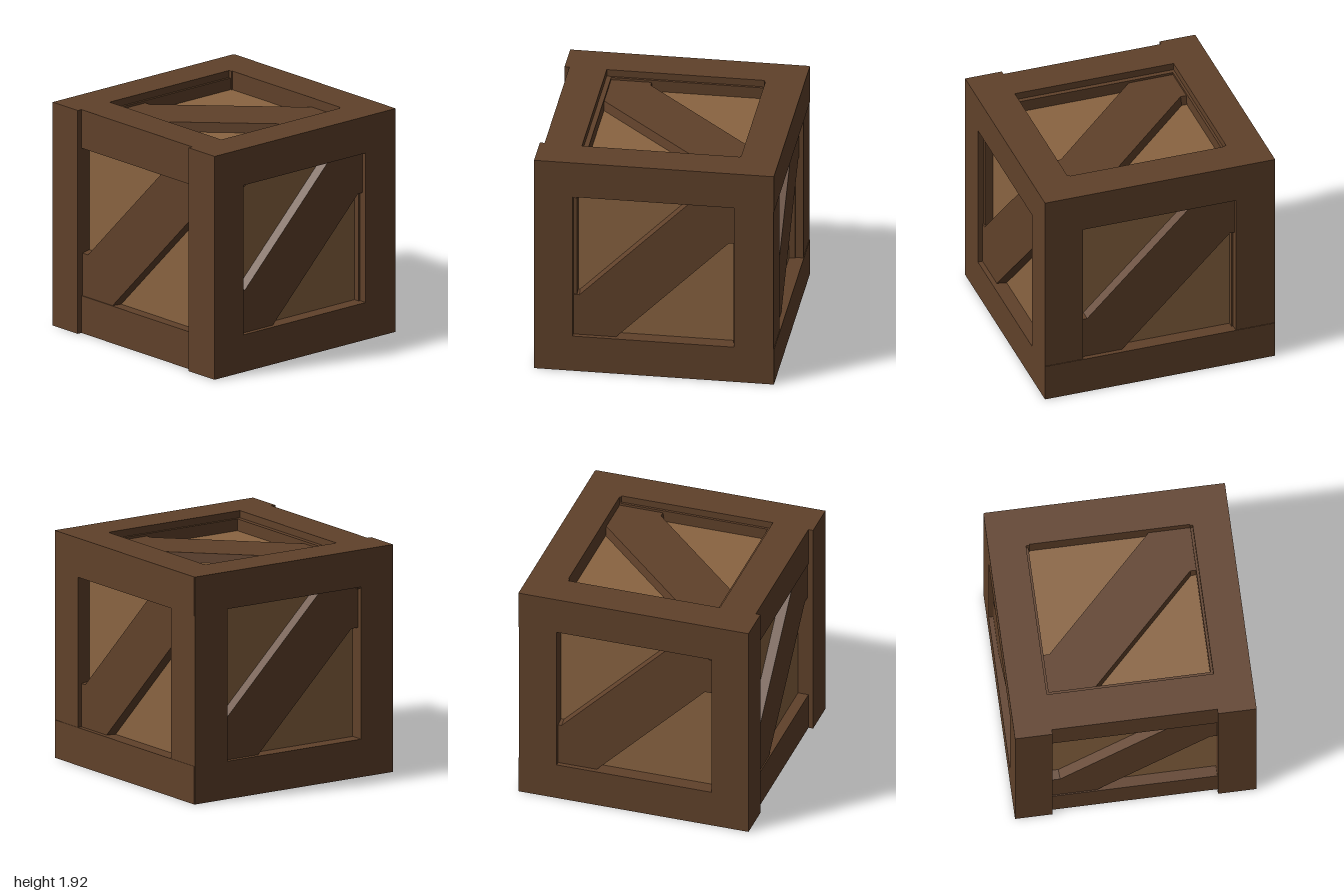
import * as THREE from 'three';

const darkWood = new THREE.MeshStandardMaterial({ name: 'darkWood', color: 0x60412a });
const lightWood = new THREE.MeshStandardMaterial({ name: 'lightWood', color: 0x8a6441 });

// Box given by its minimum and maximum corners
function block(name, [x0, y0, z0], [x1, y1, z1], material = darkWood) {
  const mesh = new THREE.Mesh(new THREE.BoxGeometry(x1 - x0, y1 - y0, z1 - z0), material);
  mesh.position.set((x0 + x1) / 2, (y0 + y1) / 2, (z0 + z1) / 2);
  mesh.name = name;
  return mesh;
}

// Diagonal plank with slightly sloped edges; its base lies at z = 0 and its face at z = 0.08
function braceGeometry() {
  const a = 0.7, c = 0.352, tip = a - 0.075;
  const half = [[-a, -a], [c - a, -a], [tip, tip - c], [a, tip - c]];
  const outline = [...half, ...half.map(([x, y]) => [-x, -y])];
  const shape = new THREE.Shape(outline.map(([x, y]) => new THREE.Vector2(x, y)));
  const geometry = new THREE.ExtrudeGeometry(shape, {
    depth: 0.04, bevelEnabled: true, bevelThickness: 0.08, bevelSize: 0.012, bevelOffset: -0.012, bevelSegments: 1,
  });
  return geometry.translate(0, 0, -0.04);
}

export function createModel() {
  const crate = new THREE.Group();
  crate.name = 'crate';
  const H = 1.92;

  // Recessed panels on all six sides
  crate.add(block('panels', [-0.87, 0.16, -0.88], [0.87, 1.76, 0.88], lightWood));

  // Corner posts
  for (const [z0, z1] of [[0.68, 1], [-1, -0.69]]) {
    crate.add(block('leftPost', [-1, 0, z0], [-0.68, H, z1]));
  }
  for (const [z0, z1] of [[0.67, 1], [-1, -0.66]]) {
    crate.add(block('rightPost', [0.66, 0, z0], [0.985, H, z1]));
  }

  // Rails along the top and bottom edges
  for (const top of [false, true]) {
    const [y0, y1] = top ? [1.605, H] : [0, 0.32];
    crate.add(block('frontRail', [-0.99, y0, 0.69], [0.985, y1, 1]));
    crate.add(block('backRail', [-0.99, y0, -1], [0.985, y1, -0.69]));
    const s0 = top ? 1.59 : 0;
    crate.add(block('leftRail', [-0.96, s0, -0.99], [-0.65, y1, 0.99]));
    crate.add(block('rightRail', [0.67, s0, -0.995], [0.99, y1, 0.995]));
  }

  // Narrow ledges inside the front, right and top openings
  crate.add(block('frontLedge', [-0.7, 0.3, 0.8], [-0.65, 1.62, 0.95]));
  crate.add(block('frontLedge', [0.645, 0.3, 0.8], [0.67, 1.62, 0.93]));
  crate.add(block('rightLedge', [0.8, 0.3, -0.67], [0.92, 1.62, -0.645]));
  crate.add(block('topLedge', [-0.67, 1.7, -0.7], [-0.61, 1.86, 0.7]));
  for (const s of [-1, 1]) {
    crate.add(block('topLedge', [-0.65, 1.7, s * 0.68 - 0.01], [0.68, 1.86, s * 0.68 + 0.01]));
  }

  // Diagonal braces, one on each side
  const plank = braceGeometry();
  const q = Math.PI / 2;
  const braces = [
    ['frontBrace', [-0.01, 0.97, 0.88], [0, 0, 0]],
    ['rightBrace', [0.87, 0.97, 0], [0, q, 0]],
    ['backBrace', [0.01, 0.97, -0.88], [0, 2 * q, 0]],
    ['leftBrace', [-0.87, 0.97, 0], [0, -q, 0]],
    ['topBrace', [0.01, 1.76, 0], [-q, 0, q]],
    ['bottomBrace', [0.01, 0.16, 0], [q, 0, q]],
  ];
  for (const [name, position, rotation] of braces) {
    const brace = new THREE.Mesh(plank, darkWood);
    brace.name = name;
    brace.position.set(...position);
    brace.rotation.set(...rotation);
    crate.add(brace);
  }
  return crate;
}
